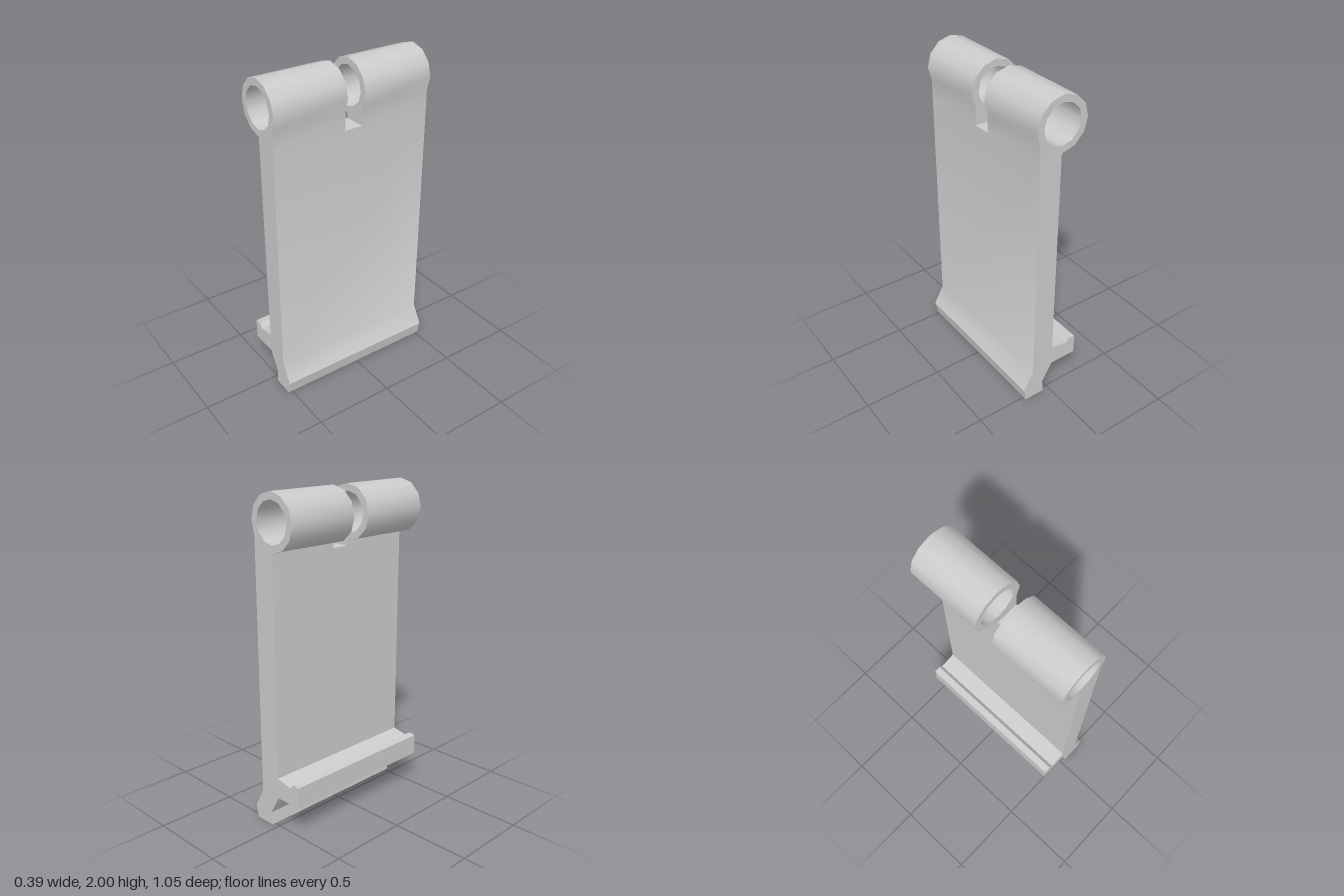
import * as THREE from 'three';
import { toCreasedNormals } from 'three/addons/utils/BufferGeometryUtils.js';

const HALF_WIDTH = 0.523, SLOT = 0.058, SLOT_Y = 1.64;
const PLATE_LEFT = -0.02, PLATE_RIGHT = 0.123;
const RING = { x: -0.02, y: 1.835, outer: 0.165, inner: 0.122, step: Math.PI / 6 };

const material = new THREE.MeshStandardMaterial({ color: 0xcccccc });

// Corners of a twelve-sided circle around the barrel axis
function arc(radius, first, last) {
  const points = [];
  for (let i = first; i <= last; i++) {
    const a = i * RING.step;
    points.push(new THREE.Vector2(RING.x + radius * Math.cos(a), RING.y + radius * Math.sin(a)));
  }
  return points;
}

// Extrude a cross-section between two depths
function extrude(name, shape, z0, z1) {
  let geometry = new THREE.ExtrudeGeometry(shape, { depth: z1 - z0, bevelEnabled: false });
  geometry.translate(0, 0, z0);
  geometry = toCreasedNormals(geometry, 0.6);
  const mesh = new THREE.Mesh(geometry, material);
  mesh.name = name;
  return mesh;
}

export function createModel() {
  const group = new THREE.Group();
  group.name = 'hingedClip';

  // Plate with the angled foot and the notched catch
  const plate = new THREE.Shape([
    [0.04, 0], [0.175, 0], [0.19, 0.08], [PLATE_RIGHT, 0.2],
    [PLATE_RIGHT, SLOT_Y], [PLATE_LEFT, SLOT_Y], [PLATE_LEFT, 0.332],
    [-0.127, 0.308], [-0.152, 0.338], [-0.196, 0.332], [-0.196, 0.203],
    [PLATE_LEFT, 0.203], [0.048, 0.08],
  ].map(([x, y]) => new THREE.Vector2(x, y)));
  group.add(extrude('plate', plate, -HALF_WIDTH, HALF_WIDTH));

  // Hinge barrels on either side of the slot
  const barrel = new THREE.Shape([
    new THREE.Vector2(PLATE_LEFT, SLOT_Y),
    new THREE.Vector2(PLATE_RIGHT, SLOT_Y),
    ...arc(RING.outer, -1, 9),
  ]);
  barrel.holes.push(new THREE.Path(arc(RING.inner, 0, 11).reverse()));
  group.add(extrude('frontBarrel', barrel, SLOT, HALF_WIDTH));
  group.add(extrude('backBarrel', barrel, -HALF_WIDTH, -SLOT));

  return group;
}
